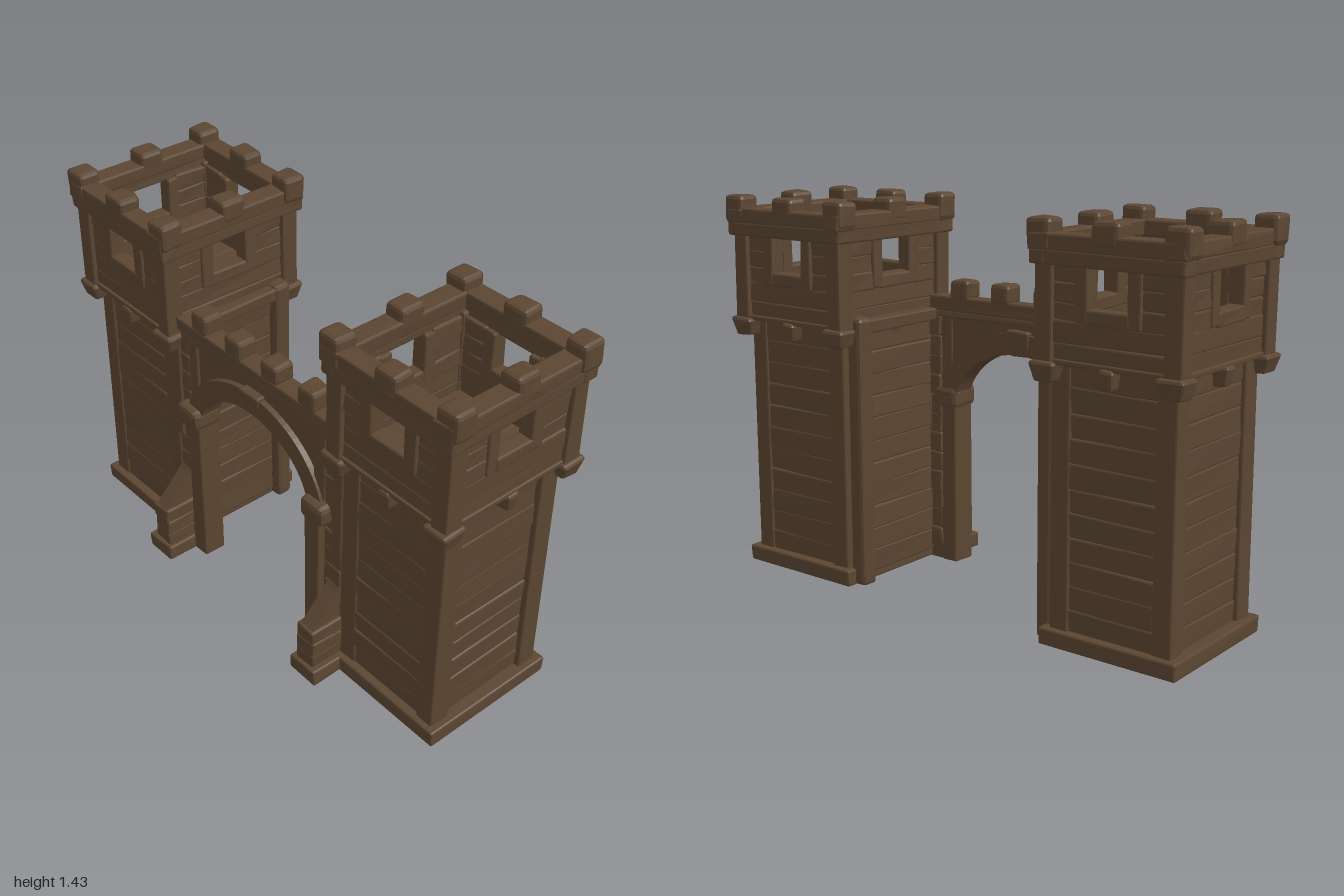
import * as THREE from 'three';
import { RoundedBoxGeometry } from 'three/addons/geometries/RoundedBoxGeometry.js';

const wood = new THREE.MeshStandardMaterial({ color: 0x5b4632 });
wood.name = 'brown wood';
wood.flatShading = true;

let seed = 7;
const rnd = () => {
  seed = (seed * 16807) % 2147483647;
  return seed / 2147483647 - 0.5;
};

// Hand-cut board: a bevelled box whose eight corners are nudged; taper narrows its foot
function board(parent, name, w, h, d, x, y, z, { rough = 0.005, taper = 1, bevel = 0.007 } = {}) {
  const geo = new RoundedBoxGeometry(w, h, d, 1, Math.min(bevel, w / 4, h / 4, d / 4));
  const p = geo.attributes.position;
  const nudge = Array.from({ length: 8 }, () => [rnd() * rough, rnd() * rough, rnd() * rough]);
  for (let i = 0; i < p.count; i++) {
    const n = nudge[(p.getX(i) > 0 ? 1 : 0) + (p.getY(i) > 0 ? 2 : 0) + (p.getZ(i) > 0 ? 4 : 0)];
    const t = p.getY(i) < 0 ? taper : 1;
    p.setXYZ(i, p.getX(i) * t + n[0], p.getY(i) + n[1], p.getZ(i) * t + n[2]);
  }
  geo.computeVertexNormals();
  const mesh = new THREE.Mesh(geo, wood);
  mesh.name = name;
  mesh.position.set(x, y, z);
  parent.add(mesh);
}

// Stack of horizontal planks filling y0..y1, slightly overlapping
function planks(parent, name, w, d, x, z, y0, y1, count) {
  const step = (y1 - y0) / count;
  for (let i = 0; i < count; i++) {
    board(parent, name, w, step + 0.004, d + rnd() * 0.008, x, y0 + step * (i + 0.5), z, { rough: 0.007 });
  }
}

// One face of a tower; the face looks along +z of its own group
function towerFace(parent, turn, half, dist) {
  const g = new THREE.Group();
  g.name = 'towerFace';
  g.rotation.y = turn;
  parent.add(g);
  const inner = half - 0.05, ww = 0.0725, shift = -0.01 * Math.sin(turn);
  planks(g, 'shaftPlank', half * 2 - 0.2, 0.04, 0, dist - 0.072, 0.05, 0.97, 11);

  // Watch room wall with an open window
  const z = dist - 0.037;
  planks(g, 'roomPlank', inner * 2, 0.045, 0, z, 0.965, 1.105, 2);
  for (const s of [-1, 1]) {
    const near = ww + 0.04 + s * shift, panel = inner - near;
    planks(g, 'roomSidePlank', panel, 0.045, s * (near + panel / 2), z, 1.1, 1.29, 3);
    board(g, 'windowPost', 0.05, 0.185, 0.06, shift + s * (ww + 0.025), 1.195, z + 0.003);
  }
  board(g, 'windowSill', ww * 2 + 0.02, 0.05, 0.06, shift, 1.125, z + 0.003);

  // Beams, battlement and middle bracket
  board(g, 'lowerBeam', half * 2 + 0.03, 0.052, 0.06, 0, 1.306, dist - 0.016);
  board(g, 'rimBeam', half * 2 + 0.04, 0.056, 0.08, 0, 1.354, dist - 0.024);
  board(g, 'merlon', 0.1, 0.085, 0.085, 0, 1.385, dist - 0.024, { bevel: 0.015 });
  board(g, 'middleBracket', 0.055, 0.07, 0.075, 0, 0.937, dist - 0.032, { taper: 0.75, bevel: 0.012 });
}

function tower(root, s) {
  const g = new THREE.Group();
  g.name = s > 0 ? 'leftTower' : 'rightTower';
  g.position.set(s * 0.7, 0, -0.042);
  root.add(g);
  board(g, 'foundation', 0.53, 0.06, 0.56, 0, 0.03, 0);
  board(g, 'shaftCore', 0.39, 0.92, 0.45, 0, 0.5, 0, { rough: 0 });
  board(g, 'roomBase', 0.53, 0.02, 0.59, 0, 0.972, 0, { rough: 0 });
  for (let i = 0; i < 5; i++) {
    board(g, 'floorBoard', 0.1, 0.02, 0.53, (i - 2) * 0.097, 0.985, 0, { rough: 0.003, bevel: 0.004 });
  }
  for (let i = 0; i < 4; i++) {
    const side = i % 2 === 1;
    towerFace(g, i * Math.PI / 2, side ? 0.3 : 0.27, side ? 0.27 : 0.3);
  }
  for (const x of [-1, 1]) for (const z of [-1, 1]) {
    board(g, 'shaftPost', 0.075, 0.92, 0.08, x * 0.198, 0.51, z * 0.215);
    board(g, 'roomPost', 0.07, 0.34, 0.07, x * 0.239, 1.135, z * 0.266);
    board(g, 'cornerBracket', 0.1, 0.068, 0.1, x * 0.237, 0.938, z * 0.268, { taper: 0.75, bevel: 0.012 });
    board(g, 'cornerMerlon', 0.09, 0.1, 0.09, x * 0.253, 1.378, z * 0.272, { bevel: 0.015 });
  }
}

// Plank lining between a tower and the gateway, with post and rail
function sideWall(root, s) {
  const g = new THREE.Group();
  g.name = 'sideWall';
  root.add(g);
  planks(g, 'sideWallPlank', 0.045, 0.4, s * 0.452, -0.04, 0.03, 0.96, 11);
  board(g, 'sideWallPost', 0.065, 1.01, 0.07, s * 0.425, 0.505, -0.245, { bevel: 0.015 });
  board(g, 'sideWallRail', 0.055, 0.05, 0.42, s * 0.425, 0.975, -0.03);
}

// Stepped support with a sloping brace in front of the wall
function buttress(root, s) {
  const g = new THREE.Group();
  g.name = 'buttress';
  root.add(g);
  board(g, 'buttressFoot', 0.13, 0.06, 0.2, s * 0.432, 0.03, 0.26);
  planks(g, 'buttressPlank', 0.088, 0.15, s * 0.43, 0.272, 0.06, 0.225, 3);
  const profile = new THREE.Shape([[0.2, 0.22], [0.345, 0.22], [0.225, 0.345], [0.2, 0.38]]
    .map(([z, y]) => new THREE.Vector2(-z, y)));
  const geo = new THREE.ExtrudeGeometry(profile, { depth: 0.06, bevelEnabled: false });
  geo.translate(0, 0, -0.03).rotateY(Math.PI / 2);
  const brace = new THREE.Mesh(geo, wood);
  brace.name = 'brace';
  brace.position.x = s * 0.43;
  g.add(brace);
}

function extruded(parent, name, shape, depth, z) {
  const geo = new THREE.ExtrudeGeometry(shape, { depth, bevelEnabled: false, curveSegments: 20 });
  const mesh = new THREE.Mesh(geo, wood);
  mesh.name = name;
  mesh.position.z = z;
  parent.add(mesh);
}

function gateway(root) {
  const g = new THREE.Group();
  g.name = 'gateway';
  root.add(g);
  const spring = 0.62, rx = 0.305, ry = 0.24;

  // Wall with an arched opening
  const wall = new THREE.Shape();
  wall.moveTo(0.47, 0).lineTo(0.47, 1.0).lineTo(-0.47, 1.0).lineTo(-0.47, 0).lineTo(-rx - 0.02, 0);
  wall.lineTo(-rx - 0.02, spring);
  wall.absellipse(0, spring, rx + 0.02, ry + 0.02, Math.PI, 0, true);
  wall.lineTo(rx + 0.02, 0);
  extruded(g, 'gateWall', wall, 0.05, 0.155);

  // Raised arch ring
  const ring = new THREE.Shape();
  ring.absellipse(0, spring, rx + 0.075, ry + 0.08, 0, Math.PI, false);
  ring.lineTo(-rx, spring);
  ring.absellipse(0, spring, rx, ry, Math.PI, 0, true);
  extruded(g, 'archRing', ring, 0.085, 0.142);
  board(g, 'keystone', 0.1, 0.095, 0.11, 0, 0.903, 0.183, { taper: 0.75 });

  board(g, 'topRail', 0.86, 0.055, 0.08, 0, 1.02, 0.183);
  board(g, 'underRail', 0.84, 0.035, 0.065, 0, 0.98, 0.182);
  for (let i = 0; i < 4; i++) {
    board(g, 'gateMerlon', 0.085, 0.075, 0.085, -0.297 + i * 0.194, 1.076, 0.182, { bevel: 0.014 });
  }
  for (const s of [-1, 1]) {
    board(g, 'gatePillar', 0.07, 0.63, 0.095, s * 0.336, 0.315, 0.19);
    board(g, 'capital', 0.115, 0.085, 0.125, s * 0.352, 0.658, 0.197, { bevel: 0.02 });
    board(g, 'upperPost', 0.055, 0.3, 0.065, s * 0.348, 0.83, 0.183);
    planks(g, 'gateWallPlank', 0.085, 0.066, s * 0.42, 0.18, 0.05, 0.97, 12);
    board(g, 'gateSidePost', 0.045, 0.45, 0.08, s * 0.447, 0.74, 0.183);
  }
}

export function createModel() {
  seed = 7;
  const root = new THREE.Group();
  root.name = 'gatehouse';
  for (const s of [-1, 1]) {
    tower(root, s);
    sideWall(root, s);
    buttress(root, s);
  }
  gateway(root);
  return root;
}
